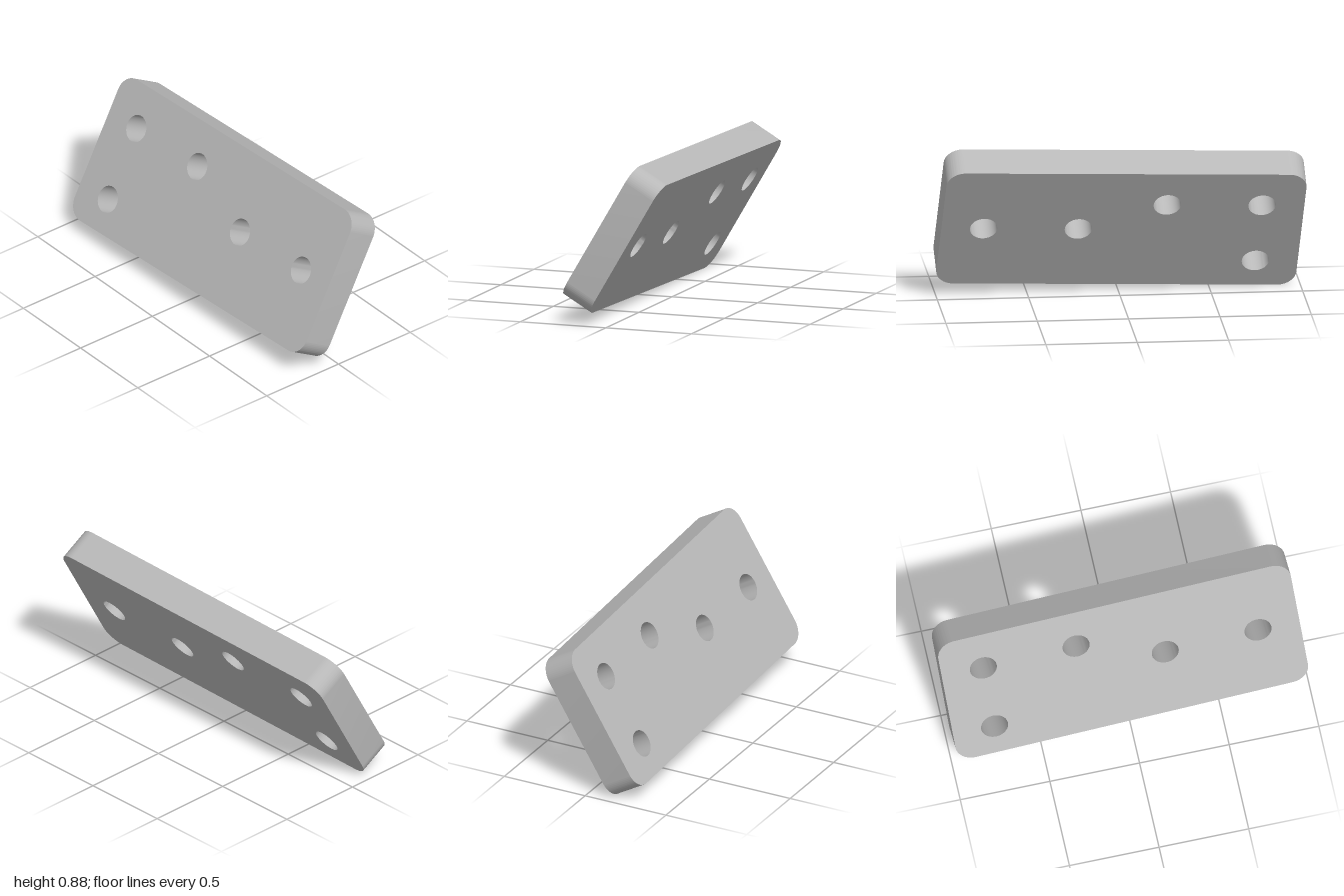
import * as THREE from 'three';
import { toCreasedNormals } from 'three/addons/utils/BufferGeometryUtils.js';

const LENGTH = 1.976, WIDTH = 0.844, THICKNESS = 0.187;
const CORNER = 0.1, HOLE = 0.075;

// hole centres: along the length, across the width
const HOLES = [[0.756, 0], [0.236, 0], [-0.236, 0.187], [-0.756, 0.187], [-0.756, -0.237]];

function plateShape() {
  const shape = new THREE.Shape();
  const a = LENGTH / 2 - CORNER, b = WIDTH / 2 - CORNER;
  // rounded outline, one arc per corner
  [[a, b], [-a, b], [-a, -b], [a, -b]].forEach(([x, y], i) => {
    shape.absarc(x, y, CORNER, i * Math.PI / 2, (i + 1) * Math.PI / 2, false);
  });
  shape.closePath();
  for (const [x, y] of HOLES) {
    shape.holes.push(new THREE.Path().absarc(x, y, HOLE, 0, Math.PI * 2, true));
  }
  return shape;
}

export function createModel() {
  const model = new THREE.Group();
  model.name = 'drilledPlate';

  const grey = new THREE.MeshStandardMaterial({ color: 0xb8b8b8 });
  grey.name = 'plain grey';

  // flat plate with five through holes
  const extruded = new THREE.ExtrudeGeometry(plateShape(), {
    depth: THICKNESS, bevelEnabled: false, curveSegments: 24,
  });
  extruded.translate(0, 0, -THICKNESS / 2);
  const plate = new THREE.Mesh(toCreasedNormals(extruded, 0.5), grey);
  plate.name = 'plate';
  plate.rotation.z = 0.0393; // slight turn within its own plane

  // lean the plate 60 degrees from the ground, long side along z
  const lean = new THREE.Group();
  lean.name = 'leaningPlate';
  const c = Math.cos(Math.PI / 3), s = Math.sin(Math.PI / 3);
  lean.quaternion.setFromRotationMatrix(new THREE.Matrix4().makeBasis(
    new THREE.Vector3(0, 0, 1), new THREE.Vector3(c, s, 0), new THREE.Vector3(-s, c, 0)));
  lean.position.y = 0.443;
  lean.add(plate);
  model.add(lean);
  return model;
}
